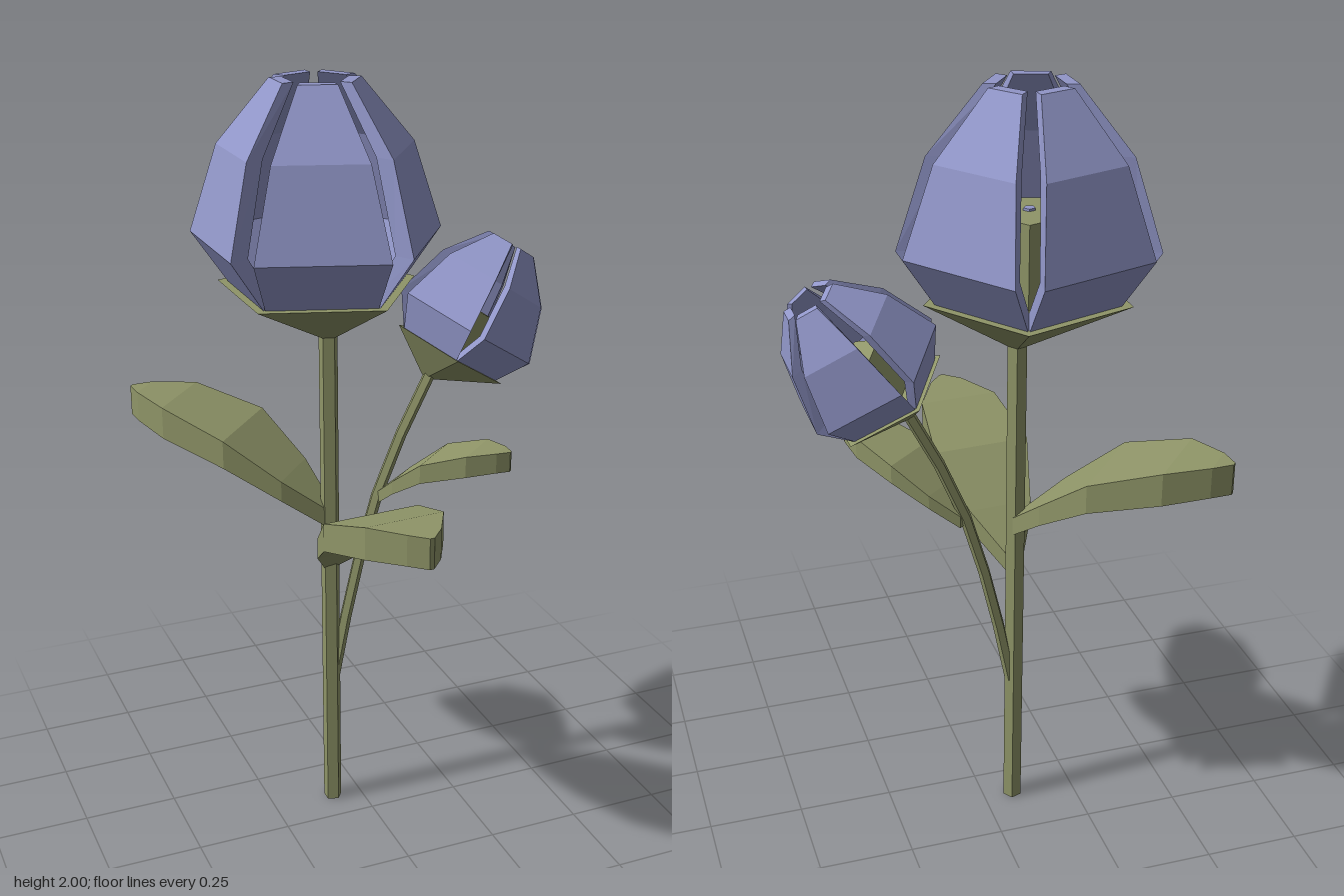
import * as THREE from 'three';

const green = new THREE.MeshStandardMaterial({ color: 0x8f9568, flatShading: true });
green.name = 'leaf green';
const violet = new THREE.MeshStandardMaterial({ color: 0x9196c8, flatShading: true });
violet.name = 'petal violet';

function mesh(name, geometry, material) {
  const m = new THREE.Mesh(geometry, material);
  m.name = name;
  return m;
}

// Closed solid through four-cornered cross-sections, wound counter-clockwise seen from the far end
function loft(rings) {
  const pos = [];
  const quad = (a, b, c, d) => pos.push(...a, ...b, ...c, ...a, ...c, ...d);
  for (let i = 0; i < rings.length - 1; i++) {
    const r = rings[i], s = rings[i + 1];
    for (let j = 0; j < 4; j++) {
      const k = (j + 1) % 4;
      quad(r[j], r[k], s[k], s[j]);
    }
  }
  const first = rings[0];
  quad(first[3], first[2], first[1], first[0]);
  quad(...rings[rings.length - 1]);
  const g = new THREE.BufferGeometry();
  g.setAttribute('position', new THREE.Float32BufferAttribute(pos, 3));
  g.computeVertexNormals();
  return g;
}

// Five-sided prism or cone with one corner on +x
const pentagon = (top, bottom, height) =>
  new THREE.CylinderGeometry(top, bottom, height, 5, 1, false, Math.PI / 2);

// Petal stations: height, distance from axis, half width, thickness
const petalGeometry = loft([
  [0, 0.19, 0.135, 0.045],
  [0.13, 0.275, 0.16, 0.05],
  [0.35, 0.215, 0.115, 0.045],
  [0.51, 0.1, 0.047, 0.03],
].map(([y, a, w, t]) => [
  [t - a, y, -w * 0.85], [-a, y, -w], [-a, y, w], [t - a, y, w * 0.85],
]));

// Leaf stations: distance along, underside height, top height, half width
const leafGeometry = loft([
  [0, 0, 0.05, 0.02],
  [0.1, 0.085, 0.14, 0.085],
  [0.24, 0.175, 0.25, 0.13],
  [0.42, 0.225, 0.31, 0.105],
  [0.52, 0.24, 0.32, 0.045],
  [0.56, 0.24, 0.32, 0.006],
].map(([z, lo, hi, w]) => [[-w, lo, z], [w, lo, z], [w, hi, z], [-w, hi, z]]));

// Flower with its origin at the centre of the cup's rim
function flower(name) {
  const g = new THREE.Group();
  g.name = name;

  // Cup narrows to the slightly offset stem
  const cupGeometry = pentagon(0.26, 0.025, 0.13);
  const p = cupGeometry.attributes.position;
  for (let i = 0; i < p.count; i++) if (p.getY(i) < 0) p.setX(i, p.getX(i) + 0.025);
  const cup = mesh('cup', cupGeometry, green);
  cup.position.y = -0.065;

  const core = mesh('core', pentagon(0.11, 0.11, 0.21), green);
  core.position.y = 0.105;
  const coreTip = mesh('coreTip', pentagon(0.015, 0.015, 0.008), violet);
  coreTip.position.y = 0.212;
  g.add(cup, core, coreTip);

  for (let i = 0; i < 5; i++) {
    const petal = mesh('petal', petalGeometry, violet);
    petal.rotation.y = i * Math.PI * 2 / 5;
    g.add(petal);
  }
  return g;
}

export function createModel() {
  const model = new THREE.Group();
  model.name = 'flowerPlant';

  // Main stem and flower
  const stem = mesh('mainStem', pentagon(0.025, 0.025, 1.38), green);
  stem.position.set(-0.08, 0.69, -0.097);
  const bloom = flower('mainFlower');
  bloom.position.set(-0.105, 1.49, -0.098);

  // Side stem and smaller tilted flower
  const path = new THREE.CatmullRomCurve3([
    [-0.072, 0.39], [-0.025, 0.62], [0.035, 0.85], [0.09, 1.0], [0.2, 1.22],
  ].map(([x, y]) => new THREE.Vector3(x, y, -0.097)));
  const sideStem = mesh('sideStem', new THREE.TubeGeometry(path, 5, 0.016, 5), green);
  const bud = flower('sideFlower');
  bud.position.set(0.254, 1.272, -0.106);
  bud.rotation.set(0, Math.PI, -0.58, 'ZYX');
  bud.scale.setScalar(0.63);
  model.add(stem, bloom, sideStem, bud);

  // Leaves: base position, heading, scale
  const leaves = [
    ['frontLeaf', [-0.08, 0.72, -0.09], 0.06, 1],
    ['backLeaf', [-0.08, 0.84, -0.1], Math.atan2(-0.41, -0.37), 1],
    ['sideLeaf', [0.06, 0.88, -0.1], Math.atan2(0.24, 0.28), 0.66],
  ];
  for (const [name, base, heading, scale] of leaves) {
    const leaf = mesh(name, leafGeometry, green);
    leaf.position.set(...base);
    leaf.rotation.y = heading;
    leaf.scale.setScalar(scale);
    model.add(leaf);
  }
  return model;
}
